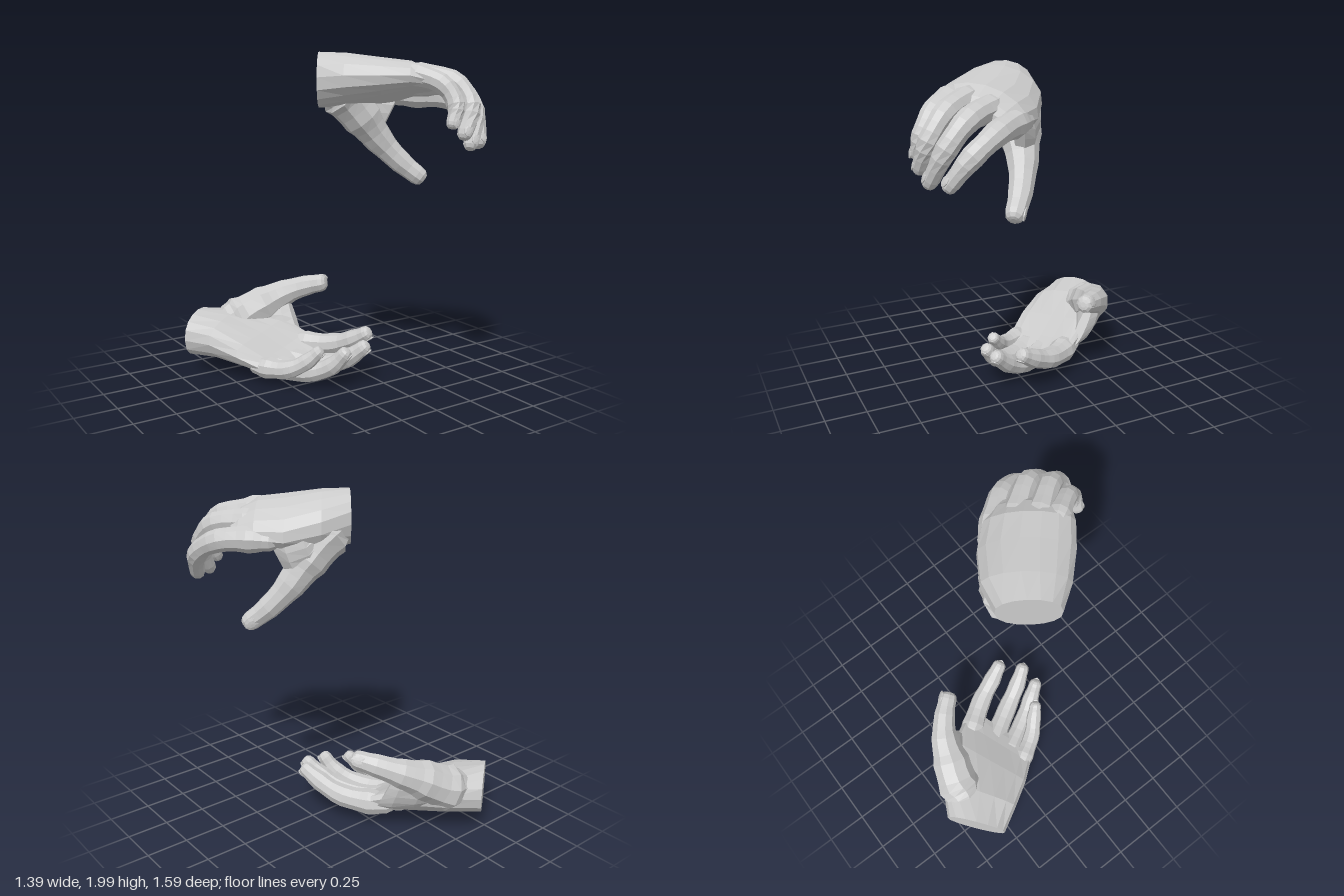
import * as THREE from 'three';

const skin = new THREE.MeshStandardMaterial({ color: 0xcccccc, flatShading: true });
const V = (a) => new THREE.Vector3(...a);

// Skin a list of equal rings, close both ends and make the faces point outwards
function loft(rings) {
  const pos = [];
  let volume = 0;
  const tri = (a, b, c) => {
    volume += a.dot(b.clone().cross(c));
    pos.push(a, b, c);
  };
  const n = rings[0].length;
  const mid = (ring) => ring.reduce((s, p) => s.add(p), new THREE.Vector3()).divideScalar(n);
  const start = rings[0], end = rings[rings.length - 1];
  const first = mid(start), last = mid(end);
  for (let j = 0; j < n; j++) {
    const k = (j + 1) % n;
    for (let i = 0; i + 1 < rings.length; i++) {
      const r = rings[i], s = rings[i + 1];
      tri(r[j], r[k], s[k]);
      tri(r[j], s[k], s[j]);
    }
    tri(first, start[k], start[j]);
    tri(last, end[j], end[k]);
  }
  if (volume < 0) {
    for (let i = 0; i < pos.length; i += 3) [pos[i + 1], pos[i + 2]] = [pos[i + 2], pos[i + 1]];
  }
  const geo = new THREE.BufferGeometry().setFromPoints(pos);
  geo.computeVertexNormals();
  return geo;
}

function part(name, geo) {
  const mesh = new THREE.Mesh(geo, skin);
  mesh.name = name;
  return mesh;
}

// Flattened body: each section runs between two edge points, with a half
// thickness and an arch towards the outer side
function slab(name, sections, outer) {
  const sides = 16;
  const rings = sections.map(([a, b, thick, arch]) => {
    const A = V(a), B = V(b);
    const half = B.clone().sub(A).multiplyScalar(0.5);
    const centre = A.clone().add(B).multiplyScalar(0.5);
    const across = half.clone().normalize();
    const n = outer.clone().addScaledVector(across, -outer.dot(across)).normalize();
    return Array.from({ length: sides }, (_, j) => {
      const t = (j / sides) * Math.PI * 2;
      const c = Math.cos(t), s = Math.sin(t);
      const v = Math.sign(s) * Math.abs(s) ** 0.85;
      return centre.clone().addScaledVector(half, c)
        .addScaledVector(n, thick * v + arch * (1 - c * c));
    });
  });
  return part(name, loft(rings));
}

// Round section of a digit at t: centre, directions and radius, thicker at the joints
function digitSection(curve, radii, back, t) {
  const spans = radii.length - 1;
  const p = curve.getPoint(t);
  const dir = curve.getTangent(t);
  const n = back.clone().addScaledVector(dir, -back.dot(dir)).normalize();
  const side = dir.clone().cross(n);
  const i = Math.min(Math.floor(t * spans), spans - 1);
  const bump = 1 + 0.04 * Math.cos(t * spans * Math.PI * 2);
  const r = THREE.MathUtils.lerp(radii[i], radii[i + 1], t * spans - i) * bump;
  return { p, dir, n, side, r };
}

// Finger or thumb: round sections along a curve, domed at both ends, with a nail
function digit(name, points, radii, back) {
  const curve = new THREE.CatmullRomCurve3(points, false, 'centripetal');
  const sides = 9, steps = 14;
  const stations = [[0, 0.3], [0.015, 0.75]];
  for (let i = 1; i <= steps; i++) stations.push([(i / steps) * 0.94, 1]);
  stations.push([0.975, 0.88], [0.995, 0.6], [1, 0.3]);
  const rings = stations.map(([t, scale]) => {
    const { p, n, side, r } = digitSection(curve, radii, back, t);
    return Array.from({ length: sides }, (_, j) => {
      const a = (j / sides) * Math.PI * 2;
      return p.clone().addScaledVector(n, Math.cos(a) * r * scale)
        .addScaledVector(side, Math.sin(a) * r * scale);
    });
  });
  const { p, dir, n, r } = digitSection(curve, radii, back, 0.94);
  const nail = part(name + 'Nail', new THREE.SphereGeometry(1, 8, 5));
  nail.scale.set(r * 0.6, r * 0.16, r * 0.8);
  nail.position.copy(p).addScaledVector(n, r * 0.86);
  nail.quaternion.setFromRotationMatrix(new THREE.Matrix4().makeBasis(n.clone().cross(dir), n, dir));
  const group = new THREE.Group();
  group.name = name;
  group.add(part(name + 'Flesh', loft(rings)), nail);
  return group;
}

function hand(name, { back, thumbBack, sections, thumb, web, fingers }) {
  const group = new THREE.Group();
  group.name = name;
  const backDir = V(back), thumbDir = V(thumbBack);
  group.add(slab('palm', sections, new THREE.Vector3(0, backDir.y, 0)));
  group.add(digit('thumb', thumb.map(V), [0.1, 0.138, 0.118, 0.085, 0.066, 0.056], thumbDir));
  group.add(slab('thumbWeb', web, thumbDir));
  const sizes = { indexFinger: 1.08, middleFinger: 1.05, ringFinger: 1, littleFinger: 0.9 };
  for (const [finger, size] of Object.entries(sizes)) {
    const points = fingers[finger].map(V);
    // Root of the finger, buried in the palm
    const root = points[0].clone().lerp(points[1], -0.7).addScaledVector(backDir, -0.02);
    const radii = [0.05, 0.073, 0.06, 0.054, 0.04].map((r) => r * size);
    group.add(digit(finger, [root, ...points], radii, backDir));
  }
  return group;
}

export function createModel() {
  const model = new THREE.Group();
  model.name = 'pairOfHands';

  // Upper hand, palm down with the fingers curling over
  model.add(hand('upperHand', {
    back: [0.38, 1, 0.38],
    thumbBack: [0.6, -0.2, -0.7],
    sections: [
      [[-0.2, 1.85, 0.2], [0.01, 1.82, -0.08], 0.158, 0],
      [[-0.11, 1.86, 0.33], [0.19, 1.78, -0.04], 0.145, 0.02],
      [[0.03, 1.86, 0.47], [0.37, 1.74, 0.07], 0.115, 0.04],
      [[0.16, 1.86, 0.57], [0.49, 1.75, 0.19], 0.085, 0.045],
      [[0.24, 1.84, 0.61], [0.54, 1.74, 0.28], 0.06, 0.04],
      [[0.28, 1.82, 0.62], [0.56, 1.74, 0.33], 0.035, 0.035],
    ],
    thumb: [[-0.02, 1.81, 0.06], [0.07, 1.75, 0.06], [0.19, 1.61, 0.095], [0.29, 1.48, 0.125],
      [0.4, 1.35, 0.19], [0.51, 1.24, 0.28]],
    web: [
      [[0.06, 1.84, 0.1], [0.03, 1.7, 0], 0.1, 0],
      [[0.25, 1.8, 0.07], [0.14, 1.58, 0.06], 0.09, 0],
      [[0.34, 1.77, 0.13], [0.24, 1.5, 0.1], 0.065, 0],
      [[0.39, 1.76, 0.19], [0.28, 1.51, 0.135], 0.03, 0],
    ],
    fingers: {
      indexFinger: [[0.46, 1.745, 0.25], [0.59, 1.725, 0.41], [0.635, 1.63, 0.56], [0.575, 1.465, 0.675]],
      middleFinger: [[0.4, 1.82, 0.36], [0.53, 1.79, 0.54], [0.55, 1.66, 0.66], [0.455, 1.46, 0.73]],
      ringFinger: [[0.31, 1.86, 0.45], [0.435, 1.82, 0.62], [0.465, 1.69, 0.72], [0.385, 1.52, 0.75]],
      littleFinger: [[0.24, 1.865, 0.52], [0.325, 1.81, 0.65], [0.355, 1.7, 0.72], [0.315, 1.58, 0.74]],
    },
  }));

  // Lower hand, palm up with the fingers slightly cupped
  model.add(hand('lowerHand', {
    back: [0.25, -1, 0.25],
    thumbBack: [0.6, 0.4, -0.7],
    sections: [
      [[-0.7, 0.22, -0.56], [-0.4, 0.24, -0.8], 0.143, 0],
      [[-0.61, 0.22, -0.4], [-0.19, 0.27, -0.69], 0.13, 0.03],
      [[-0.51, 0.17, -0.24], [-0.01, 0.25, -0.47], 0.1, 0.055],
      [[-0.42, 0.12, -0.13], [0.07, 0.19, -0.33], 0.075, 0.055],
      [[-0.36, 0.11, -0.08], [0.1, 0.17, -0.25], 0.05, 0.05],
      [[-0.33, 0.11, -0.06], [0.1, 0.16, -0.21], 0.03, 0.045],
    ],
    thumb: [[-0.41, 0.26, -0.64], [-0.29, 0.29, -0.62], [-0.13, 0.375, -0.57], [0, 0.44, -0.52],
      [0.11, 0.49, -0.435], [0.205, 0.525, -0.325]],
    web: [
      [[-0.36, 0.22, -0.62], [-0.34, 0.34, -0.67], 0.09, 0],
      [[-0.13, 0.17, -0.5], [-0.14, 0.42, -0.61], 0.085, 0],
      [[-0.02, 0.16, -0.42], [-0.02, 0.44, -0.54], 0.06, 0],
      [[0.03, 0.16, -0.36], [0.01, 0.41, -0.49], 0.03, 0],
    ],
    fingers: {
      indexFinger: [[0.02, 0.15, -0.29], [0.13, 0.17, -0.13], [0.19, 0.23, 0.01], [0.235, 0.3, 0.12]],
      middleFinger: [[-0.13, 0.085, -0.22], [0, 0.1, 0], [0.07, 0.17, 0.135], [0.135, 0.27, 0.24]],
      ringFinger: [[-0.25, 0.08, -0.17], [-0.14, 0.085, 0.03], [-0.06, 0.15, 0.155], [-0.01, 0.26, 0.24]],
      littleFinger: [[-0.35, 0.105, -0.13], [-0.27, 0.12, 0], [-0.19, 0.18, 0.08], [-0.13, 0.26, 0.14]],
    },
  }));
  return model;
}
